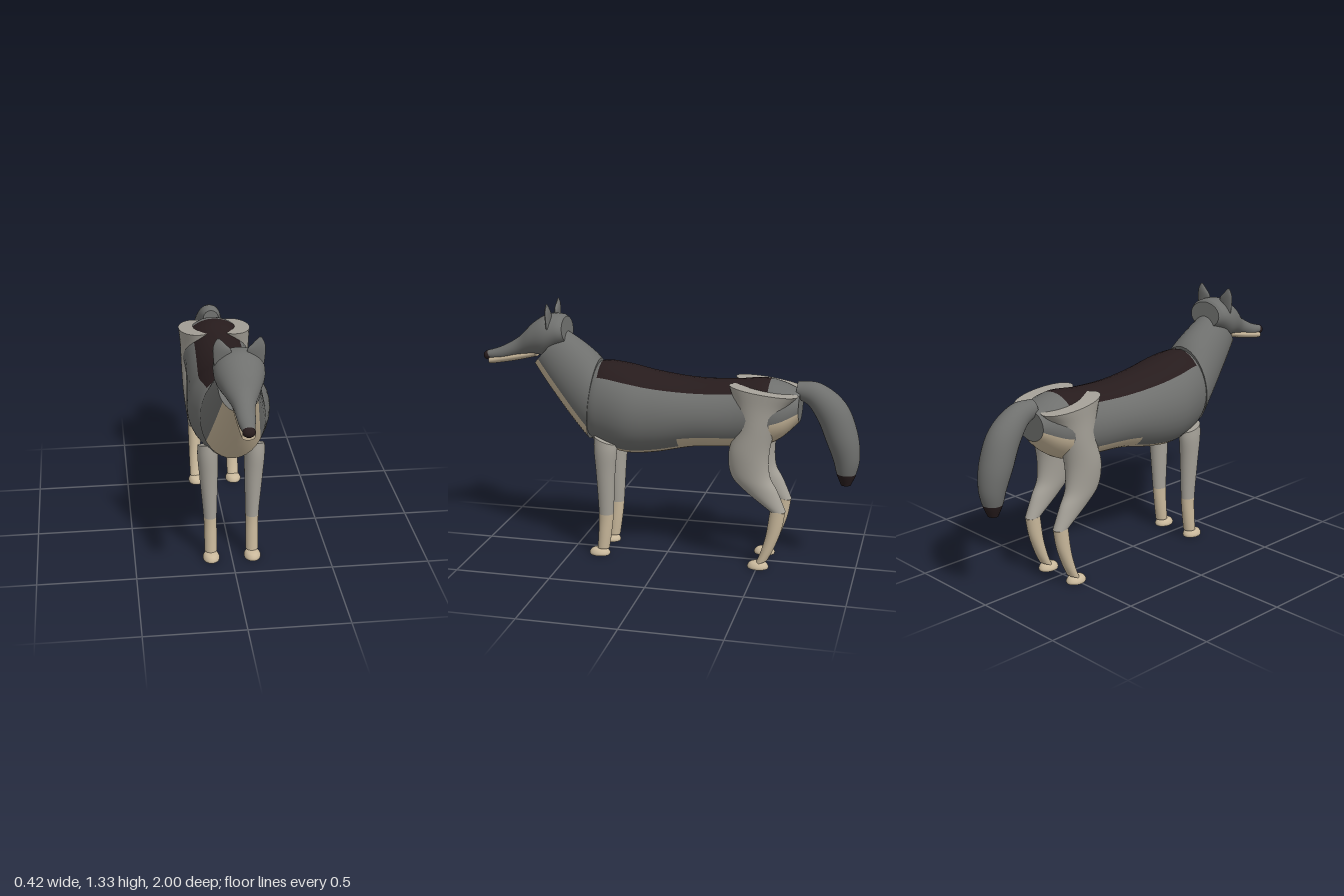
import * as THREE from 'three';

const mat = (name, color) => {
  const m = new THREE.MeshStandardMaterial({ color });
  m.name = name;
  return m;
};

const DOWN = Math.PI / 2; // ring pitch for parts that run downwards
const SEG = 32;

// Smooth loft through elliptical rings [x, y, z, halfWidth, halfHeight, pitch].
// pick(angle from ring top in degrees, y, z) gives the material index of a face.
function loft(name, rings, materials, pick = () => 0, steps = 5) {
  const centre = new THREE.CatmullRomCurve3(
    rings.map(r => new THREE.Vector3(r[0], r[1], r[2])), false, 'catmullrom', 0.5);
  const size = new THREE.CatmullRomCurve3(
    rings.map(r => new THREE.Vector3(r[3], r[4], r[5] ?? 0)), false, 'catmullrom', 0.5);
  const n = (rings.length - 1) * steps;
  const pos = [], faces = materials.map(() => []), mids = [];

  const addRing = t => {
    const c = centre.getPoint(t), s = size.getPoint(t);
    for (let j = 0; j < SEG; j++) {
      const a = (j / SEG) * Math.PI * 2;
      const up = s.y * Math.cos(a);
      pos.push(c.x + s.x * Math.sin(a), c.y + up * Math.cos(s.z), c.z - up * Math.sin(s.z));
    }
    return c;
  };

  for (let i = 0; i <= n; i++) mids.push(addRing(i / n));
  for (let i = 0; i < n; i++) {
    const y = (mids[i].y + mids[i + 1].y) / 2, z = (mids[i].z + mids[i + 1].z) / 2;
    for (let j = 0; j < SEG; j++) {
      const deg = ((j + 0.5) / SEG) * 360;
      const k = (j + 1) % SEG;
      const a = i * SEG + j, b = i * SEG + k, c = a + SEG, d = b + SEG;
      faces[pick(Math.min(deg, 360 - deg), y, z)].push(a, b, c, b, d, c);
    }
  }
  // Flat end caps with their own vertices, so their edges stay sharp
  for (const end of [0, 1]) {
    const start = pos.length / 3;
    const c = addRing(end);
    const m = pick(90, c.y, c.z);
    for (let j = 1; j < SEG - 1; j++) {
      if (end) faces[m].push(start, start + j, start + j + 1);
      else faces[m].push(start, start + j + 1, start + j);
    }
  }

  const g = new THREE.BufferGeometry();
  g.setAttribute('position', new THREE.Float32BufferAttribute(pos, 3));
  g.setIndex(faces.flat());
  let offset = 0;
  faces.forEach((f, i) => {
    g.addGroup(offset, f.length, i);
    offset += f.length;
  });
  g.computeVertexNormals();
  const mesh = new THREE.Mesh(g, materials);
  mesh.name = name;
  return mesh;
}

export function createModel() {
  const model = new THREE.Group();
  model.name = 'wildDog';
  const coat = mat('greyCoat', 0x6f706e);
  const legGrey = mat('lightGreyLeg', 0xa6a299);
  const cream = mat('creamUnderside', 0xcab99c);
  const dark = mat('darkSaddle', 0x271c1d);

  // Torso with dark saddle and cream belly
  model.add(loft('torso', [
    [0, 0.80, 0.43, 0.11, 0.14],
    [0, 0.805, 0.39, 0.155, 0.195],
    [0, 0.805, 0.33, 0.18, 0.228],
    [0, 0.785, 0.2, 0.208, 0.235],
    [0, 0.777, 0.05, 0.2, 0.213],
    [0, 0.787, -0.15, 0.184, 0.18],
    [0, 0.795, -0.35, 0.174, 0.175],
    [0, 0.81, -0.5, 0.178, 0.175],
    [0, 0.825, -0.6, 0.16, 0.142],
    [0, 0.85, -0.69, 0.1, 0.08],
  ], [coat, dark, cream], (a, y, z) => {
    if (a < 45 && z < 0.35 && z > -0.53) return 1;
    const bellyEdge = z > -0.07 ? 146 : z > -0.55 ? 123 : 101;
    return a > bellyEdge ? 2 : 0;
  }, 6));

  // Neck with cream throat and chest
  model.add(loft('neck', [
    [0, 1.09, 0.625, 0.1, 0.124, 0.76],
    [0, 0.965, 0.51, 0.129, 0.165, 0.45],
    [0, 0.825, 0.385, 0.163, 0.217, 0.12],
  ], [coat, cream], a => (a > 123 ? 1 : 0)));

  // Head, jaw and nose
  model.add(loft('head', [
    [0, 1.03, 0.985, 0.025, 0.02],
    [0, 1.043, 0.9, 0.04, 0.035],
    [0, 1.083, 0.8, 0.054, 0.052],
    [0, 1.13, 0.72, 0.09, 0.083],
    [0, 1.156, 0.64, 0.118, 0.106],
    [0, 1.18, 0.57, 0.118, 0.085, 0.05],
    [0, 1.185, 0.535, 0.1, 0.067, -0.12],
  ], [coat]));
  model.add(loft('jaw', [
    [0, 1.002, 0.965, 0.031, 0.019],
    [0, 1.01, 0.93, 0.036, 0.023],
    [0, 1.032, 0.82, 0.044, 0.025],
    [0, 1.058, 0.7, 0.05, 0.022],
  ], [cream]));
  const nose = new THREE.Mesh(new THREE.SphereGeometry(1, 24, 16), dark);
  nose.name = 'nose';
  nose.scale.set(0.03, 0.025, 0.027);
  nose.position.set(0, 1.028, 0.973);
  model.add(nose);

  // Drooping tail with dark tip
  model.add(loft('tail', [
    [0, 0.935, -0.67, 0.042, 0.042, 0.1],
    [0, 0.912, -0.76, 0.062, 0.065, 0.4],
    [0, 0.825, -0.85, 0.08, 0.083, 0.95],
    [0, 0.7, -0.903, 0.084, 0.082, 1.25],
    [0, 0.59, -0.93, 0.07, 0.068, 1.45],
    [0, 0.51, -0.932, 0.052, 0.05, DOWN],
    [0, 0.45, -0.932, 0.028, 0.026, DOWN],
  ], [coat, dark], (a, y) => (y < 0.51 ? 1 : 0)));

  // Paired parts
  for (const [side, s] of [['left', 1], ['right', -1]]) {
    const paw = (name, z) => loft(name, [
      [s * 0.107, 0.037, z, 0.012, 0.016, DOWN],
      [s * 0.107, 0.03, z, 0.032, 0.042, DOWN],
      [s * 0.107, 0.012, z, 0.043, 0.055, DOWN],
      [s * 0.107, 0, z, 0.042, 0.054, DOWN],
    ], [cream], undefined, 3);

    model.add(loft(side + 'Ear', [
      [s * 0.083, 1.2, 0.61, 0.034, 0.008, -DOWN],
      [s * 0.079, 1.265, 0.612, 0.043, 0.012, -DOWN],
      [s * 0.09, 1.3, 0.612, 0.028, 0.01, -DOWN],
      [s * 0.097, 1.33, 0.612, 0.006, 0.003, -DOWN],
    ], [coat]));

    // Front leg, its slanted top tucked into the shoulder
    model.add(loft(side + 'FrontLeg', [
      [s * 0.117, 0.638, 0.305, 0.052, 0.062, DOWN + 0.35],
      [s * 0.118, 0.57, 0.305, 0.052, 0.06, DOWN + 0.1],
      [s * 0.114, 0.45, 0.306, 0.046, 0.05, DOWN],
      [s * 0.108, 0.23, 0.307, 0.034, 0.039, DOWN],
      [s * 0.107, 0.12, 0.315, 0.033, 0.035, DOWN],
      [s * 0.107, 0.038, 0.324, 0.032, 0.032, DOWN],
    ], [legGrey, cream], (a, y) => (y < 0.23 ? 1 : 0)));
    model.add(paw(side + 'FrontPaw', 0.345));

    // Haunch flares out to a flat top beside the rump
    model.add(loft(side + 'HindLeg', [
      [s * 0.1, 0.943, -0.515, 0.095, 0.176, DOWN + 0.13],
      [s * 0.102, 0.86, -0.497, 0.086, 0.127, DOWN + 0.06],
      [s * 0.105, 0.75, -0.48, 0.08, 0.1, DOWN],
      [s * 0.107, 0.62, -0.448, 0.073, 0.104, DOWN],
      [s * 0.107, 0.5, -0.457, 0.06, 0.1, DOWN],
      [s * 0.107, 0.42, -0.512, 0.048, 0.086, DOWN],
      [s * 0.107, 0.315, -0.603, 0.035, 0.04, DOWN],
    ], [legGrey]));
    model.add(loft(side + 'HindSock', [
      [s * 0.107, 0.32, -0.602, 0.036, 0.039, DOWN + 0.25],
      [s * 0.107, 0.2, -0.583, 0.034, 0.039, DOWN - 0.2],
      [s * 0.107, 0.1, -0.552, 0.033, 0.037, DOWN - 0.35],
      [s * 0.107, 0.035, -0.523, 0.032, 0.034, DOWN - 0.35],
    ], [cream]));
    model.add(paw(side + 'HindPaw', -0.505));
  }
  return model;
}
